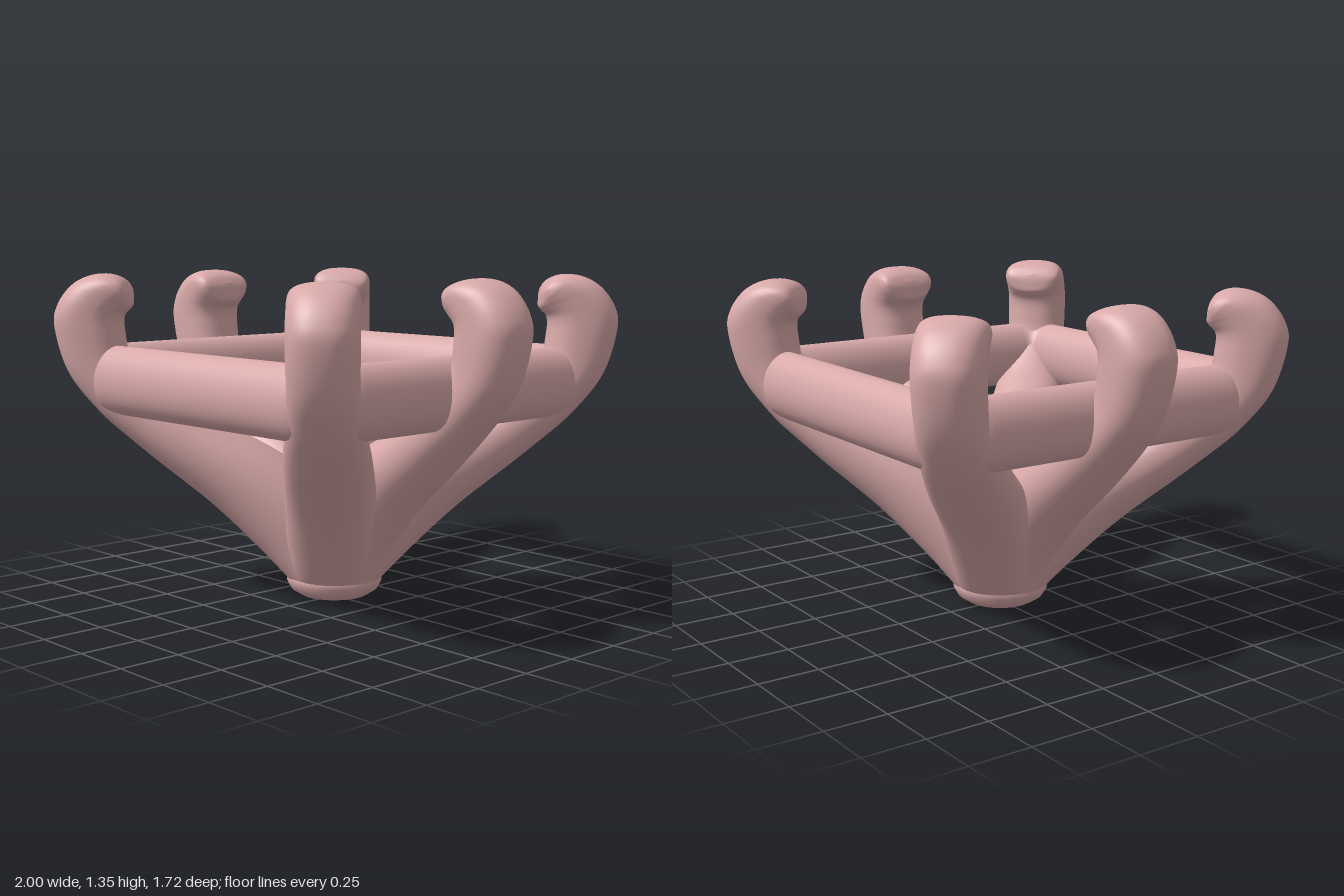
import * as THREE from 'three';

const material = new THREE.MeshStandardMaterial({ color: 0xd9a9a9, side: THREE.DoubleSide });

// Skin a list of equally sized rings of Vector3; optionally join last ring to first.
function loft(rings, closed) {
  const n = rings[0].length, index = [];
  const last = closed ? rings.length : rings.length - 1;
  for (let i = 0; i < last; i++) {
    const p = i * n, q = ((i + 1) % rings.length) * n;
    for (let j = 0; j < n; j++) {
      const k = (j + 1) % n;
      index.push(p + j, q + j, p + k, p + k, q + j, q + k);
    }
  }
  const geometry = new THREE.BufferGeometry().setFromPoints(rings.flat());
  geometry.setIndex(index);
  geometry.computeVertexNormals();
  return geometry;
}

// Claw stations: outer radius, outer y, half width, inner radius, inner y, section exponent
const stations = [
  [0.20, 0.09, 0.19, -0.18, 0.09, 2],
  [0.28, 0.22, 0.19, -0.07, 0.40, 2],
  [0.43, 0.40, 0.18, 0.13, 0.60, 2],
  [0.64, 0.60, 0.165, 0.42, 0.77, 2.1],
  [0.84, 0.80, 0.14, 0.60, 0.90, 2.2],
  [0.95, 0.95, 0.13, 0.69, 1.00, 2.3],
  [1.00, 1.13, 0.13, 0.715, 1.11, 2.4],
  [0.985, 1.22, 0.13, 0.715, 1.17, 2.4],
  [0.93, 1.295, 0.13, 0.69, 1.20, 2.4],
  [0.86, 1.335, 0.13, 0.68, 1.215, 2.4],
  [0.78, 1.345, 0.125, 0.68, 1.235, 2.4],
  [0.72, 1.325, 0.10, 0.683, 1.265, 2.3],
  [0.69, 1.29, 0, 0.69, 1.29, 2],
];

// Claw leaning out along +x; reach pushes its upper part further out.
function clawGeometry(reach) {
  const curve = (o) => new THREE.CatmullRomCurve3(
    stations.map((s) => new THREE.Vector3(s[o], s[o + 1], s[o + 2])), false, 'catmullrom', 0.5);
  const outer = curve(0), inner = curve(3);
  const power = (v, n) => Math.sign(v) * Math.abs(v) ** (2 / n);
  const rings = [], steps = 72, sides = 40;
  for (let i = 0; i <= steps; i++) {
    const o = outer.getPoint(i / steps), q = inner.getPoint(i / steps);
    const cx = (o.x + q.x) / 2, cy = (o.y + q.y) / 2;
    const shift = reach * THREE.MathUtils.clamp((cy - 0.09) / 0.72, 0, 1);
    const ring = [];
    for (let j = 0; j < sides; j++) {
      const a = (j / sides) * Math.PI * 2;
      const u = power(Math.cos(a), q.z), w = power(Math.sin(a), q.z);
      ring.push(new THREE.Vector3(cx + shift + u * (o.x - q.x) / 2, cy + u * (o.y - q.y) / 2, w * Math.max(o.z, 0)));
    }
    rings.push(ring);
  }
  return loft(rings, false);
}

// Square rail with rounded corners and a tall oval section
function railGeometry() {
  const straight = 0.56, corner = 0.12, steps = 12, sides = 40, rings = [];
  for (let c = 0; c < 4; c++) {
    const mid = (c + 0.5) * Math.PI / 2;
    const cx = straight * Math.sign(Math.cos(mid)), cz = -straight * Math.sign(Math.sin(mid));
    for (let i = 0; i <= steps; i++) {
      const a = (c + i / steps) * Math.PI / 2, ring = [];
      for (let j = 0; j < sides; j++) {
        const t = (j / sides) * Math.PI * 2, r = corner + 0.1 * Math.cos(t);
        ring.push(new THREE.Vector3(cx + r * Math.cos(a), 0.915 + 0.14 * Math.sin(t), cz - r * Math.sin(a)));
      }
      rings.push(ring);
    }
  }
  return loft(rings, true);
}

export function createModel() {
  const group = new THREE.Group();
  const add = (name, geometry, angle = 0) => {
    const mesh = new THREE.Mesh(geometry, material);
    mesh.name = name;
    mesh.rotation.y = angle;
    group.add(mesh);
  };

  // Rounded foot where all claws meet
  const foot = [[0, 0], [0.08, 0.003], [0.14, 0.015], [0.18, 0.04], [0.197, 0.07], [0.2, 0.095], [0.19, 0.1], [0, 0.1]];
  add('foot', new THREE.LatheGeometry(foot.map(([x, y]) => new THREE.Vector2(x, y)), 48));

  // Two side claws and four longer corner claws
  const side = clawGeometry(0), diagonal = clawGeometry(0.15);
  add('leftClaw', side);
  add('rightClaw', side, Math.PI);
  ['backLeftClaw', 'backRightClaw', 'frontRightClaw', 'frontLeftClaw'].forEach((name, i) =>
    add(name, diagonal, Math.PI / 4 + i * Math.PI / 2));

  add('squareRail', railGeometry());
  return group;
}
